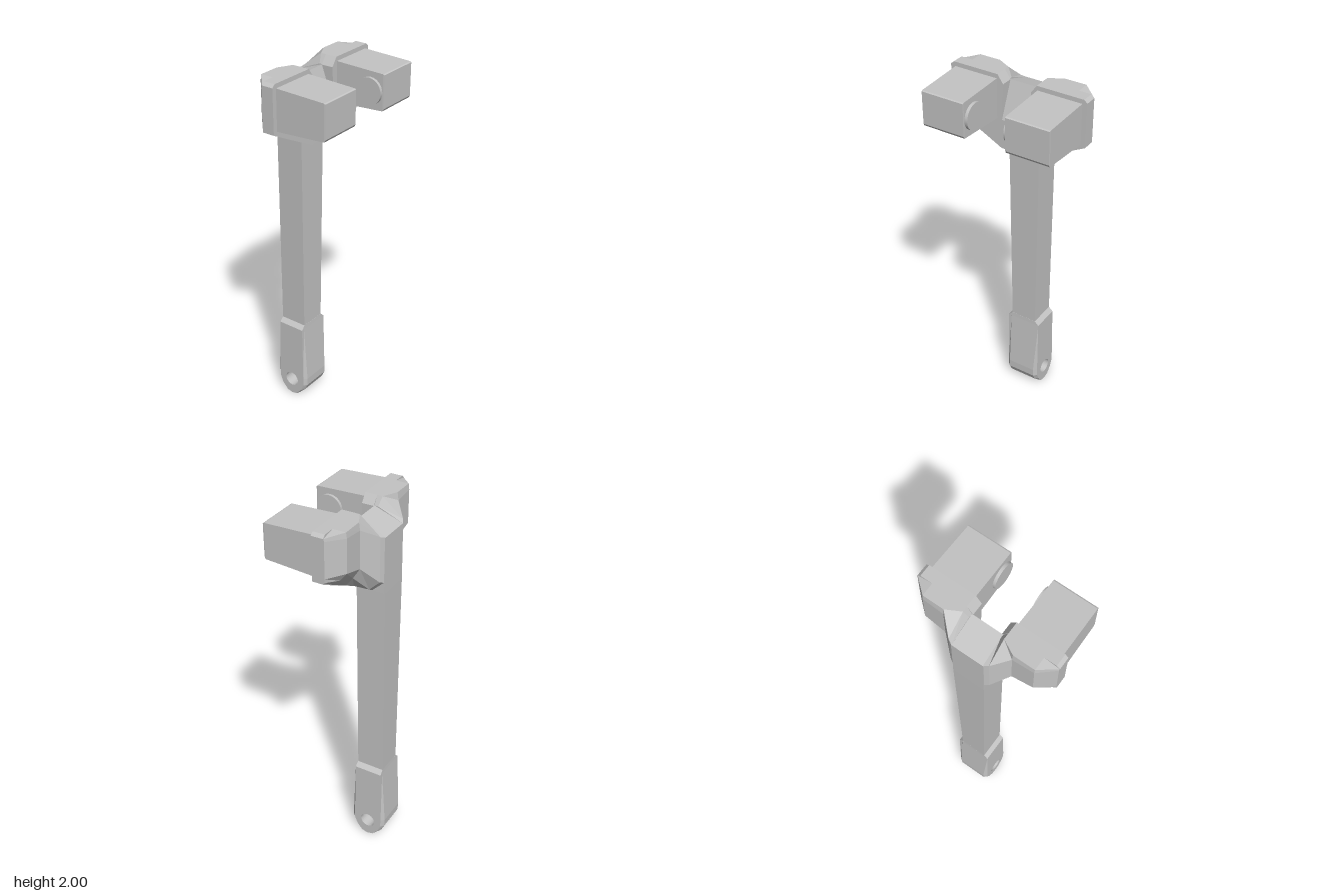
import * as THREE from 'three';

const steel = new THREE.MeshStandardMaterial({ color: 0xc3c3c3 });
steel.name = 'light grey metal';

// Flat-faced solid through rings of [x, y, z]; each ring turns anticlockwise about the travel direction
function loft(rings) {
  const pos = [];
  const tri = (a, b, c) => pos.push(...a, ...b, ...c);
  const n = rings[0].length;
  for (let r = 0; r < rings.length - 1; r++) {
    const a = rings[r], b = rings[r + 1];
    for (let i = 0; i < n; i++) {
      const j = (i + 1) % n;
      tri(a[i], a[j], b[j]);
      tri(a[i], b[j], b[i]);
    }
  }
  const first = rings[0], last = rings[rings.length - 1];
  for (let i = 1; i < n - 1; i++) {
    tri(first[0], first[i + 1], first[i]);
    tri(last[0], last[i], last[i + 1]);
  }
  const g = new THREE.BufferGeometry();
  g.setAttribute('position', new THREE.Float32BufferAttribute(pos, 3));
  g.computeVertexNormals();
  return g;
}

// Horizontal rectangle ring, with separate heights for its two x edges
const level = (x0, x1, z, y0, y1 = y0) => [[x0, y0, -z], [x0, y0, z], [x1, y1, z], [x1, y1, -z]];

// Upright rectangle ring for lofts along x
const upright = (x, y0, y1, z0, z1) => [[x, y0, z0], [x, y1, z0], [x, y1, z1], [x, y0, z1]];

// Ring in the xy plane at depth z
const section = (z, pts) => pts.map(([x, y]) => [x, y, z]);

// Copy a z loft to the other side, keeping faces outward
const mirrorSections = (rings) => rings.map((r) => r.map(([x, y, z]) => [x, y, -z])).reverse();

const toShape = (pts) => new THREE.Shape(pts.map(([x, y]) => new THREE.Vector2(x, y)));

// Rounded grip end with a cross hole and side edges chamfered more towards the bottom
function gripEndGeometry() {
  const cx = -0.166, cy = 0.098;
  const grip = toShape([
    [-0.243, 0.462], [-0.266, 0.13], [-0.264, 0.085], [-0.245, 0.045], [-0.205, 0.008], [-0.165, 0],
    [-0.125, 0.008], [-0.088, 0.045], [-0.068, 0.085], [-0.067, 0.13], [-0.088, 0.462],
  ]);
  const hole = new THREE.Path();
  hole.absarc(cx, cy, 0.042, 0, Math.PI * 2, true);
  grip.holes.push(hole);
  const g = new THREE.ExtrudeGeometry(grip, { depth: 0.196, steps: 3, bevelEnabled: false, curveSegments: 16 });
  g.translate(0, 0, -0.098);
  const p = g.attributes.position;
  for (let i = 0; i < p.count; i++) {
    const x = p.getX(i), y = p.getY(i), z = p.getZ(i);
    if (Math.abs(z) < 0.09) {
      p.setZ(i, Math.sign(z) * 0.08);
    } else if (Math.hypot(x - cx, y - cy) > 0.05) {
      p.setX(i, cx + (x - cx) * (1 - 0.17 * Math.min(1, (0.462 - y) / 0.33)));
    }
  }
  g.computeVertexNormals();
  return g;
}

export function createModel() {
  const model = new THREE.Group();
  const add = (name, geometry) => {
    const mesh = new THREE.Mesh(geometry, steel);
    mesh.name = name;
    model.add(mesh);
    return mesh;
  };

  // Long shaft with a sloping top
  add('shaft', loft([
    level(-0.242, -0.09, 0.074, 0.45),
    level(-0.238, -0.083, 0.088, 1.6),
    level(-0.235, -0.08, 0.088, 1.9, 1.955),
  ]));

  add('gripEnd', gripEndGeometry());
  add('gripShoulder', loft([level(-0.243, -0.088, 0.098, 0.462), level(-0.242, -0.089, 0.075, 0.485)]));

  // Yoke plate, drawn in (-z, y) and turned to face +x
  const half = [[0.09, 1.6], [0.38, 1.75], [0.382, 1.985], [0.365, 2], [0.11, 2], [0.078, 1.955], [0.086, 1.76]];
  const plate = toShape([...half, ...half.map(([z, y]) => [-z, y]).reverse()]);
  const plateGeometry = new THREE.ExtrudeGeometry(plate, { depth: 0.065, bevelEnabled: false });
  plateGeometry.rotateY(Math.PI / 2).translate(-0.08, 0, 0);
  add('yokePlate', plateGeometry);

  // Slope at the bottom of the notch between the jaws
  const wedge = [[-0.015, 1.76], [-0.08, 1.955], [-0.08, 1.76]];
  add('notchSlope', loft([section(-0.088, wedge), section(0.088, wedge)]));

  // Tapered wing behind one half of the plate, its underside rising towards the back
  const wing = [
    section(0.085, [[-0.08, 1.6], [-0.08, 1.955], [-0.1, 1.955], [-0.235, 1.9], [-0.235, 1.66], [-0.17, 1.6]]),
    section(0.11, [[-0.08, 1.61], [-0.08, 2], [-0.11, 2], [-0.222, 1.91], [-0.222, 1.67], [-0.165, 1.615]]),
    section(0.185, [[-0.08, 1.65], [-0.08, 2], [-0.15, 2], [-0.156, 1.96], [-0.156, 1.76], [-0.118, 1.7]]),
    section(0.3, [[-0.08, 1.71], [-0.08, 2], [-0.15, 2], [-0.154, 1.97], [-0.154, 1.79], [-0.118, 1.745]]),
    section(0.38, [[-0.08, 1.75], [-0.08, 1.985], [-0.081, 1.985], [-0.083, 1.97], [-0.083, 1.78], [-0.081, 1.76]]),
  ];
  add('leftWing', loft(wing));
  add('rightWing', loft(mirrorSections(wing)));

  // Jaw blocks, tapering slightly to a bevelled tip
  const jaw = [
    upright(-0.02, 1.762, 1.977, 0.114, 0.356),
    upright(0.258, 1.778, 1.967, 0.116, 0.353),
    upright(0.265, 1.79, 1.963, 0.117, 0.352),
  ];
  add('leftJaw', loft(jaw));
  // The right jaw swaps point order instead of ring order, since it travels along x
  add('rightJaw', loft(jaw.map((r) => r.map(([x, y, z]) => [x, y, -z]).reverse())));

  // Round pads on the inner faces of the jaws
  for (const [name, s] of [['leftJawPad', 1], ['rightJawPad', -1]]) {
    const pad = add(name, new THREE.CylinderGeometry(0.07, 0.07, 0.02, 24));
    pad.rotation.x = Math.PI / 2;
    pad.position.set(0.186, 1.87, s * 0.11);
  }
  return model;
}
